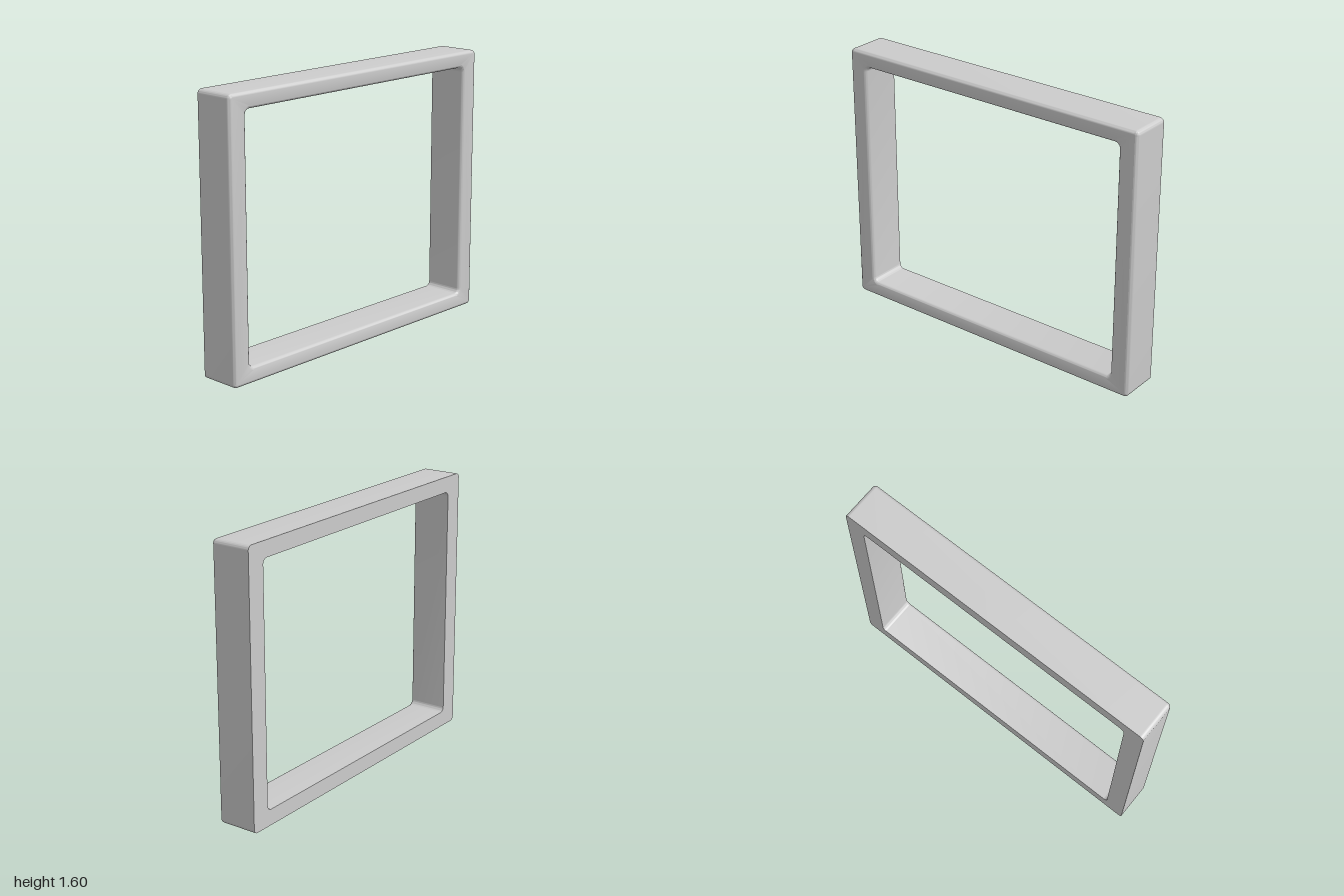
import * as THREE from 'three';
import { toCreasedNormals } from 'three/addons/utils/BufferGeometryUtils.js';

const LENGTH = 2, HEIGHT = 1.6, DEPTH = 0.24;
const SIDE = 0.117, RAIL = 0.094; // widths of the uprights and of the rails
const FILLET = 0.02;

// Rounded rectangle centred on the origin
function roundedRect(path, w, h, r) {
  const x = w / 2 - r, y = h / 2 - r;
  path.absarc(x, y, r, 0, Math.PI / 2);
  path.absarc(-x, y, r, Math.PI / 2, Math.PI);
  path.absarc(-x, -y, r, Math.PI, Math.PI * 1.5);
  path.absarc(x, -y, r, Math.PI * 1.5, Math.PI * 2);
  path.closePath();
  return path;
}

export function createModel() {
  const group = new THREE.Group();
  group.name = 'rectangularFrame';

  // Outline with a rounded opening
  const shape = roundedRect(new THREE.Shape(), LENGTH, HEIGHT, 0.026);
  shape.holes.push(roundedRect(new THREE.Path(), LENGTH - 2 * SIDE, HEIGHT - 2 * RAIL, 0.03));

  let geometry = new THREE.ExtrudeGeometry(shape, {
    depth: DEPTH - FILLET,
    curveSegments: 8,
    bevelThickness: FILLET,
    bevelSize: FILLET,
    bevelOffset: -FILLET,
    bevelSegments: 6,
  });

  // Flatten the rear bevel so only the +x face has filleted edges
  const pos = geometry.attributes.position;
  for (let i = 0; i < pos.count; i++) {
    if (pos.getZ(i) < 0) pos.setZ(i, 0);
  }
  geometry = toCreasedNormals(geometry, 0.6);

  // Turn the extrusion to run along x and stand it on the ground
  geometry.rotateY(Math.PI / 2);
  geometry.translate(-DEPTH / 2, HEIGHT / 2, 0);

  const frame = new THREE.Mesh(geometry, new THREE.MeshStandardMaterial({ color: 0xcccccc }));
  frame.name = 'frame';
  group.add(frame);
  return group;
}
